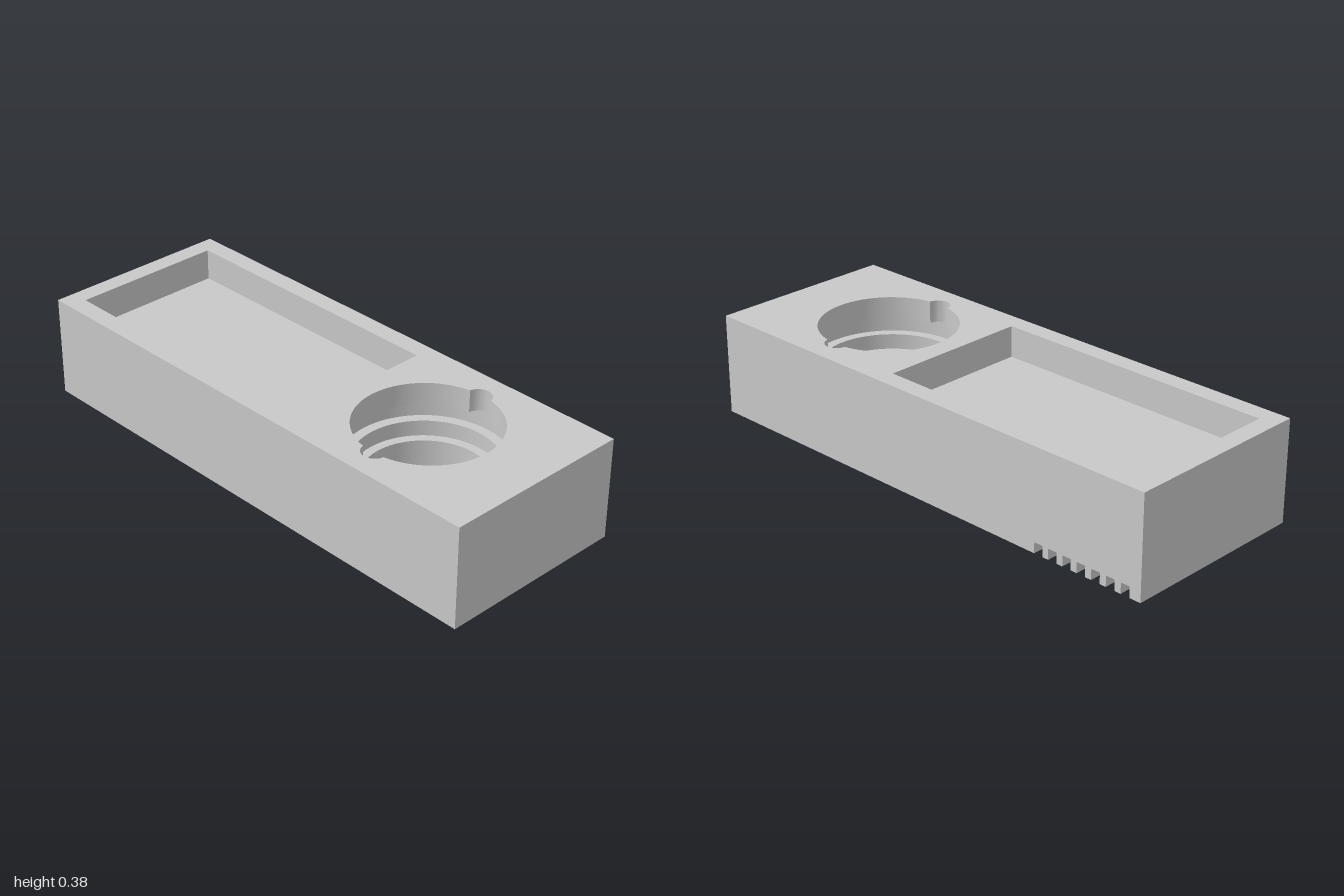
import * as THREE from 'three';
import { toCreasedNormals } from 'three/addons/utils/BufferGeometryUtils.js';

const W = 0.365, L = 1, H = 0.385;            // outer half width, half length, height
const IW = 0.297, IL = 0.932;                 // inner cavity half sizes
const CEIL = 0.145, FLOOR = 0.265;            // cavity ceiling, tray floor
const LIP = 0.30, SHELF = 0.235, SEAT = 0.176; // socket: groove top, groove bottom, seat
const CZ = 0.519;                             // centre of the round socket
const HOLE = 0.223, BORE = 0.257, GROOVE = 0.294, TUBE = 0.288;
const SLOT_H = 0.041, SLOT_W = 0.036, SLOTS = 7;
const SLOT_X = W - 0.045;                     // inner end of the blind slots

// All plan outlines are [x, -z] lists, counter-clockwise seen from above.
const rect = (x0, x1, z0, z1) => [[x0, -z1], [x1, -z1], [x1, -z0], [x0, -z0]];
const polar = (radius, n = 128) => Array.from({ length: n }, (_, i) => {
  const a = (i / n) * Math.PI * 2, r = radius(a);
  return [r * Math.cos(a), r * Math.sin(a) - CZ];
});
const circle = (r) => polar(() => r);

// Bore outline with a round key notch on each side
const keyedBore = polar((a) => {
  const c = 0.247, d = 0.047 ** 2 - (c * Math.sin(a)) ** 2;
  return d > 0 ? Math.max(BORE, c * Math.abs(Math.cos(a)) + Math.sqrt(d)) : BORE;
}, 240);

const toShape = (pts, holes = []) => {
  const v = (list) => list.map(([x, y]) => new THREE.Vector2(x, y));
  const s = new THREE.Shape(v(pts));
  holes.forEach((h) => s.holes.push(new THREE.Path(v(h))));
  return s;
};

// Horizontal face at height y, looking up or down
function cap(y, pts, holes = [], down = false) {
  const g = new THREE.ShapeGeometry(toShape(pts, holes));
  g.rotateX(-Math.PI / 2).translate(0, y, 0);
  if (down) {
    const ix = g.index.array;
    for (let i = 0; i < ix.length; i += 3) [ix[i], ix[i + 1]] = [ix[i + 1], ix[i]];
    g.computeVertexNormals();
  }
  return g;
}

// Surface stretched between two 3D polylines of equal length
function ruled(a, b, closed, inward) {
  const pos = [], n = a.length;
  for (let i = 0; i < (closed ? n : n - 1); i++) {
    const j = (i + 1) % n;
    const q = inward ? [a[j], a[i], b[i], a[j], b[i], b[j]] : [a[i], a[j], b[j], a[i], b[j], b[i]];
    pos.push(...q.flat());
  }
  const g = new THREE.BufferGeometry();
  g.setAttribute('position', new THREE.Float32BufferAttribute(pos, 3));
  g.computeVertexNormals();
  return toCreasedNormals(g, 0.5);
}
const wall = (pts, y0, y1, inward = false, closed = true) => ruled(
  pts.map(([x, s]) => [x, y0, -s]), pts.map(([x, s]) => [x, y1, -s]), closed, inward);

export function createModel() {
  const group = new THREE.Group();
  const grey = new THREE.MeshStandardMaterial({ color: 0xc8c8c8, side: THREE.DoubleSide });
  grey.name = 'plain grey';
  const add = (name, ...geos) => {
    const part = new THREE.Group();
    part.name = name;
    geos.forEach((g) => {
      const m = new THREE.Mesh(g, grey);
      m.name = name;
      part.add(m);
    });
    group.add(part);
  };

  const inner = rect(-IW, IW, -IL, IL);
  const tray = rect(-0.293, 0.293, -0.93, 0.184);

  // Top face and the rectangular tray
  add('topFace', cap(H, rect(-W, W, -L, L), [tray, keyedBore]));
  add('tray', wall(tray, FLOOR, H, true), cap(FLOOR, tray));

  // Keyed bore opening into a wider groove
  add('keyedBore', wall(keyedBore, LIP, H, true));
  add('grooveRing', cap(LIP, circle(GROOVE), [keyedBore], true),
    wall(circle(GROOVE), SHELF, LIP, true),
    cap(SHELF, circle(GROOVE), [circle(BORE)]));

  // Narrower recess below the groove, ending in a seat
  add('seat', wall(circle(BORE), SEAT, SHELF, true),
    cap(SEAT, circle(BORE), [circle(HOLE)]));

  // Tube hanging down to the base
  add('tube', wall(circle(HOLE), 0, SEAT, true), wall(circle(TUBE), 0, CEIL),
    cap(0, circle(TUBE), [circle(HOLE)], true));

  // Cavity under the tray
  add('cavity', cap(CEIL, inner, [circle(TUBE)], true), wall(inner, 0, CEIL, true));

  // Plain outer walls: back, right-hand and front
  add('outerWalls', wall([[W, L], [-W, L], [-W, -L], [W, -L]], 0, H, false, false));

  // Left wall with a row of blind slots along its base
  const slots = Array.from({ length: SLOTS }, (_, i) => {
    const s = 0.55 + i * 0.0615;
    return [s, s + SLOT_W];
  });
  const slotLine = ([a, b]) => [[a, 0], [a, SLOT_H], [b, SLOT_H], [b, 0]];
  const panel = (x, pts) => new THREE.ShapeGeometry(toShape(pts))
    .rotateY(Math.PI / 2).translate(x, 0, 0);
  add('slottedWall', panel(W, [[L, 0], [L, H], [-L, H], [-L, 0], ...slots.flatMap(slotLine)]));
  slots.forEach((s) => {
    const at = (x) => slotLine(s).map(([t, y]) => [x, y, -t]);
    add('slot', ruled(at(SLOT_X), at(W), false, true), panel(SLOT_X, slotLine(s)));
  });

  // Bottom rim, with teeth left between the slots
  const edges = [-L, ...slots.flat(), L];
  const teeth = [];
  for (let i = 0; i < edges.length; i += 2) {
    teeth.push(cap(0, rect(SLOT_X, W, -edges[i + 1], -edges[i]), [], true));
  }
  add('bottomRim', ...teeth, cap(0, rect(-W, SLOT_X, -L, L), [inner], true));

  return group;
}
